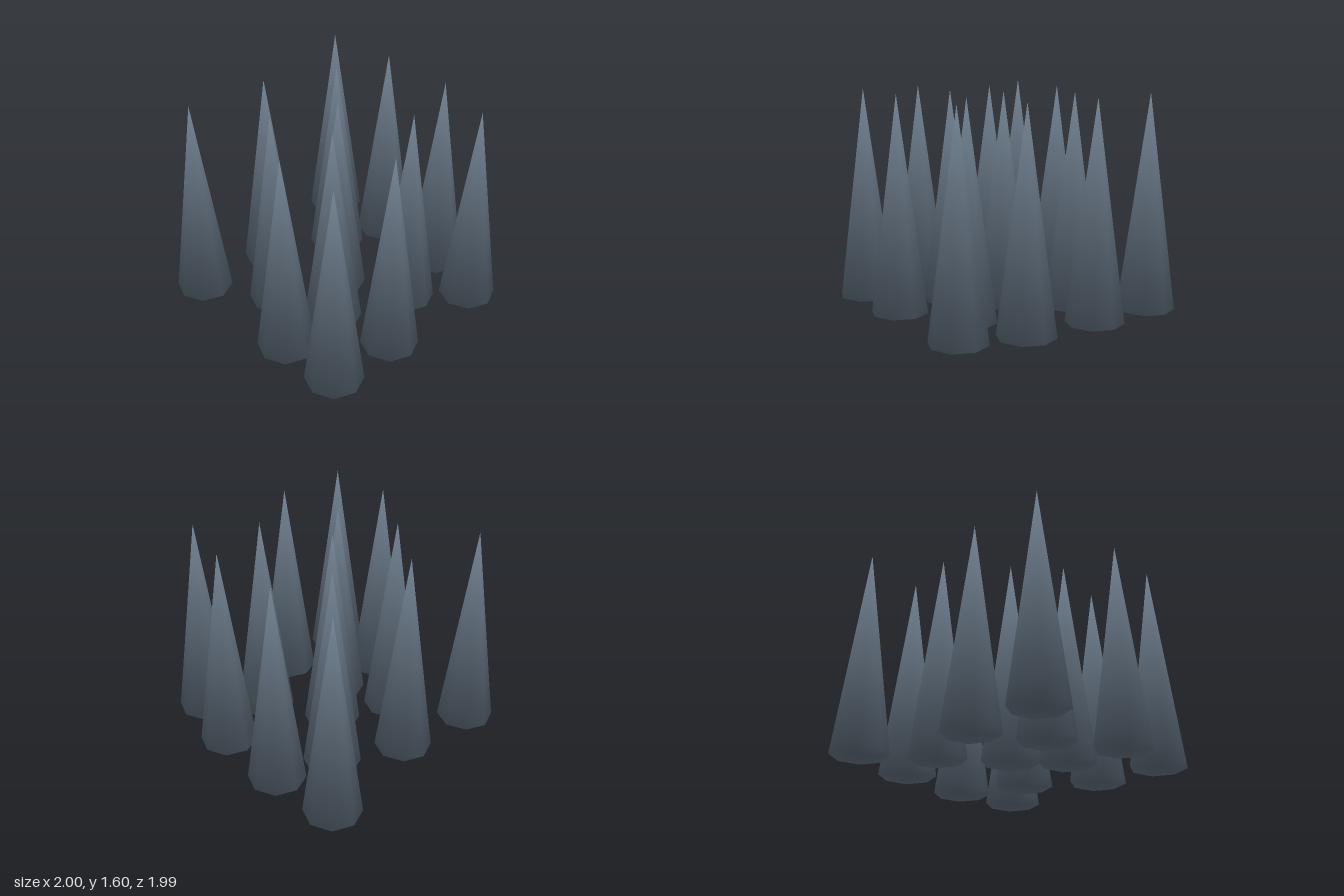
import * as THREE from 'three';

const HEIGHT = 1.6;
const RADIUS = 0.213;

// Base centre [x, z] of every spike
const SPOTS = [
  [-0.786, -0.74], [-0.253, -0.786], [0.33, -0.76], [0.786, -0.615],
  [-0.392, -0.366], [0.475, -0.257], [-0.016, -0.005], [-0.63, 0.145],
  [0.248, 0.307], [0.751, 0.227], [-0.21, 0.458], [-0.712, 0.767],
  [0.243, 0.778], [0.727, 0.767],
];

// Eight-sided spike, closed below, with normals blended across the tip and the base rim
function spikeGeometry() {
  const geometry = new THREE.ConeGeometry(RADIUS, HEIGHT, 8);
  geometry.translate(0, HEIGHT / 2, 0);
  const { position, normal } = geometry.attributes;
  for (let i = 0; i < position.count; i++) {
    const x = position.getX(i), z = position.getZ(i);
    if (position.getY(i) > HEIGHT / 2) normal.setXYZ(i, 0, 1, 0);
    else if (Math.hypot(x, z) < 0.01) normal.setXYZ(i, 0, -1, 0);
    else normal.setXYZ(i, 0.8 * x / RADIUS, -0.6, 0.8 * z / RADIUS);
  }
  return geometry;
}

export function createModel() {
  const model = new THREE.Group();
  model.name = 'spikeField';
  const steel = new THREE.MeshStandardMaterial({ color: 0x708090 });
  steel.name = 'slate steel';
  const geometry = spikeGeometry();

  // Scattered upright spikes
  SPOTS.forEach(([x, z], i) => {
    const spike = new THREE.Mesh(geometry, steel);
    spike.name = `spike${i + 1}`;
    spike.position.set(x, 0, z);
    model.add(spike);
  });
  return model;
}
